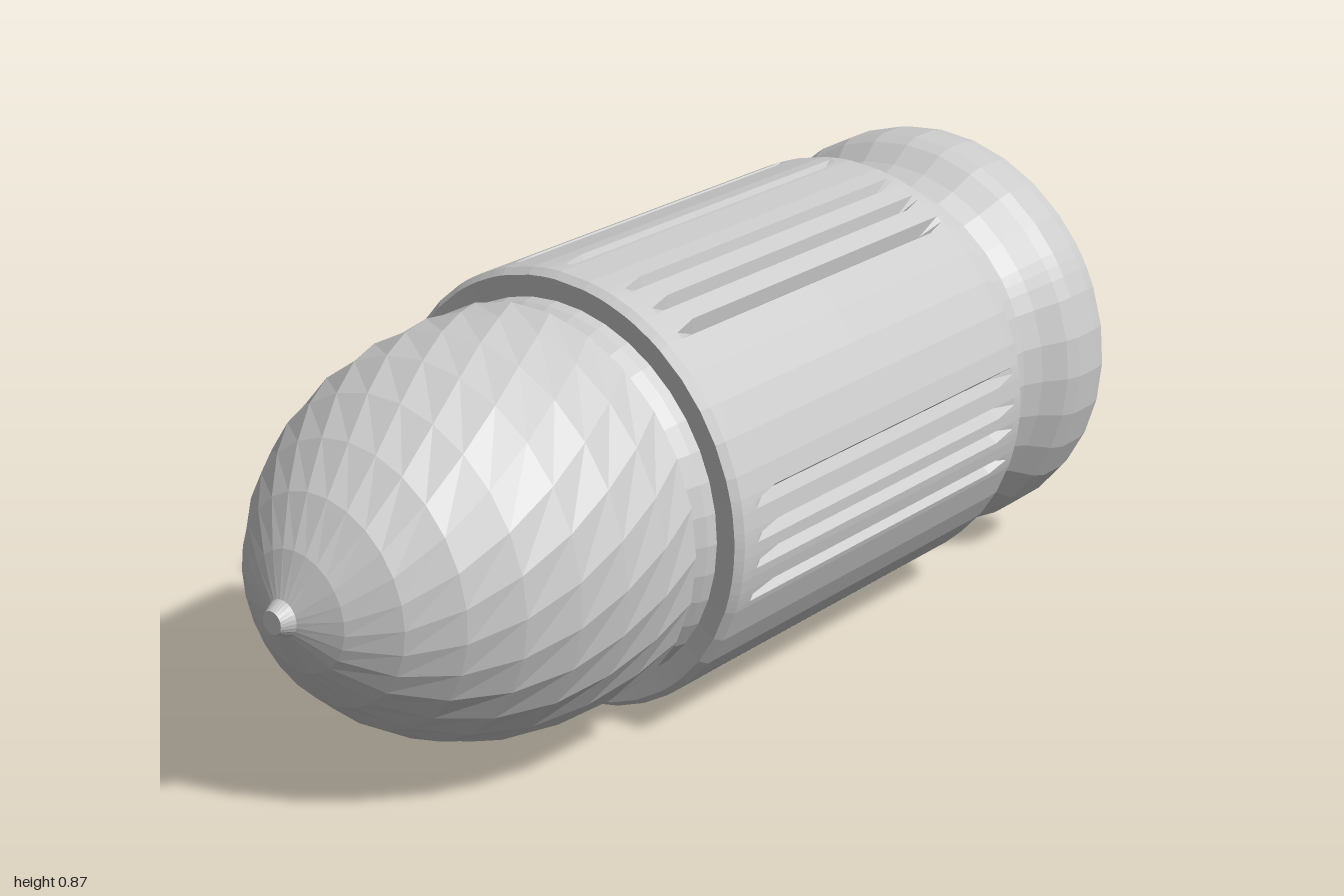
import * as THREE from 'three';

const CY = 0.438; // height of the long axis
const RAD = Math.PI / 180;
const material = new THREE.MeshStandardMaterial({ color: 0xcccccc, flatShading: true });

// Evenly spaced angles (degrees), with three extra ones for every cut
function angleList(sides, cuts = [], halfWidth = 2) {
  const list = [];
  for (let i = 0; i < sides; i++) {
    const a = (i * 360) / sides;
    if (!cuts.some((c) => Math.abs(a - c) < halfWidth + 1)) list.push(a);
  }
  for (const c of cuts) list.push(c - halfWidth, c, c + halfWidth);
  return list.sort((a, b) => a - b);
}

// Turned shape around the x axis. profile: [x, radius]; shape(x, r, angle, ring) may alter a point
function turned(name, profile, angles, shape = (x, r, a) => [x, r, a]) {
  const n = angles.length, pos = [], index = [];
  profile.forEach(([px, pr], ring) => {
    for (const angle of angles) {
      const [x, r, a] = shape(px, pr, angle, ring);
      pos.push(x, CY + r * Math.sin(a * RAD), r * Math.cos(a * RAD));
    }
  });
  for (let i = 0; i < profile.length - 1; i++) {
    for (let j = 0; j < n; j++) {
      const k = (j + 1) % n;
      const a = i * n + j, b = a + n, c = (i + 1) * n + k, d = i * n + k;
      if (profile[i + 1][1] > 0) index.push(a, b, c);
      if (profile[i][1] > 0) index.push(a, c, d);
    }
  }
  const geometry = new THREE.BufferGeometry();
  geometry.setAttribute('position', new THREE.Float32BufferAttribute(pos, 3));
  geometry.setIndex(index);
  geometry.computeVertexNormals();
  const mesh = new THREE.Mesh(geometry, material);
  mesh.name = name;
  return mesh;
}

export function createModel() {
  const group = new THREE.Group();
  group.name = 'roundNosedCartridge';

  // Faceted nose, every ring turned half a step for triangular facets
  const noseProfile = [
    [-1, 0], [-1, 0.022], [-0.975, 0.035], [-0.94, 0.115], [-0.88, 0.2], [-0.8, 0.272],
    [-0.71, 0.328], [-0.61, 0.367], [-0.51, 0.386], [-0.41, 0.392], [-0.325, 0.39], [-0.312, 0.372],
  ];
  group.add(turned('nose', noseProfile, angleList(26),
    (x, r, a, ring) => [x, r, a + (ring * 180) / 26]));

  // Narrow collar between nose and body
  group.add(turned('collar', [
    [-0.315, 0.368], [-0.3, 0.364], [-0.275, 0.376], [-0.25, 0.38], [-0.24, 0.38],
  ], angleList(40)));

  // Body with long tapered grooves on the front, top and back
  const grooves = [
    10.5, 2, -5, -14.5, -51, // front
    56, 65, 74, 93, 110, 122, // top
    164, 172, 180, 188, 197, 232, // back
  ].map((a) => (a + 360) % 360);
  // A groove at 2 degrees reaches past zero, so angles run on freely around the circle
  const bodyAngles = angleList(40, grooves, 1.9);
  group.add(turned('groovedBody', [
    [-0.252, 0.375], [-0.255, 0.422], [-0.24, 0.434], [-0.2, 0.434], [-0.14, 0.434], [0.2, 0.434],
    [0.58, 0.434], [0.635, 0.434], [0.66, 0.432], [0.685, 0.41], [0.705, 0.372],
  ], bodyAngles, (x, r, a) => {
    const cut = grooves.includes(a) && x > -0.16 && x < 0.6;
    return [x, cut ? r - 0.028 : r, a];
  }));

  // Waist, flared rim and open cup, with three small chips in the end face
  const chips = [32, 148, 213];
  group.add(turned('rimAndCup', [
    [0.695, 0.385], [0.72, 0.374], [0.77, 0.37], [0.81, 0.388], [0.855, 0.42], [0.885, 0.43],
    [0.95, 0.43], [0.98, 0.424], [0.997, 0.408], [1, 0.385], [0.998, 0.36], [0.992, 0.318],
    [0.975, 0.312], [0.972, 0.292], [0.87, 0.28], [0.75, 0.266], [0.75, 0],
  ], angleList(32, chips, 3.5), (x, r, a, ring) =>
    [chips.includes(a) && ring === 9 ? x - 0.05 : x, r, a]));

  return group;
}
